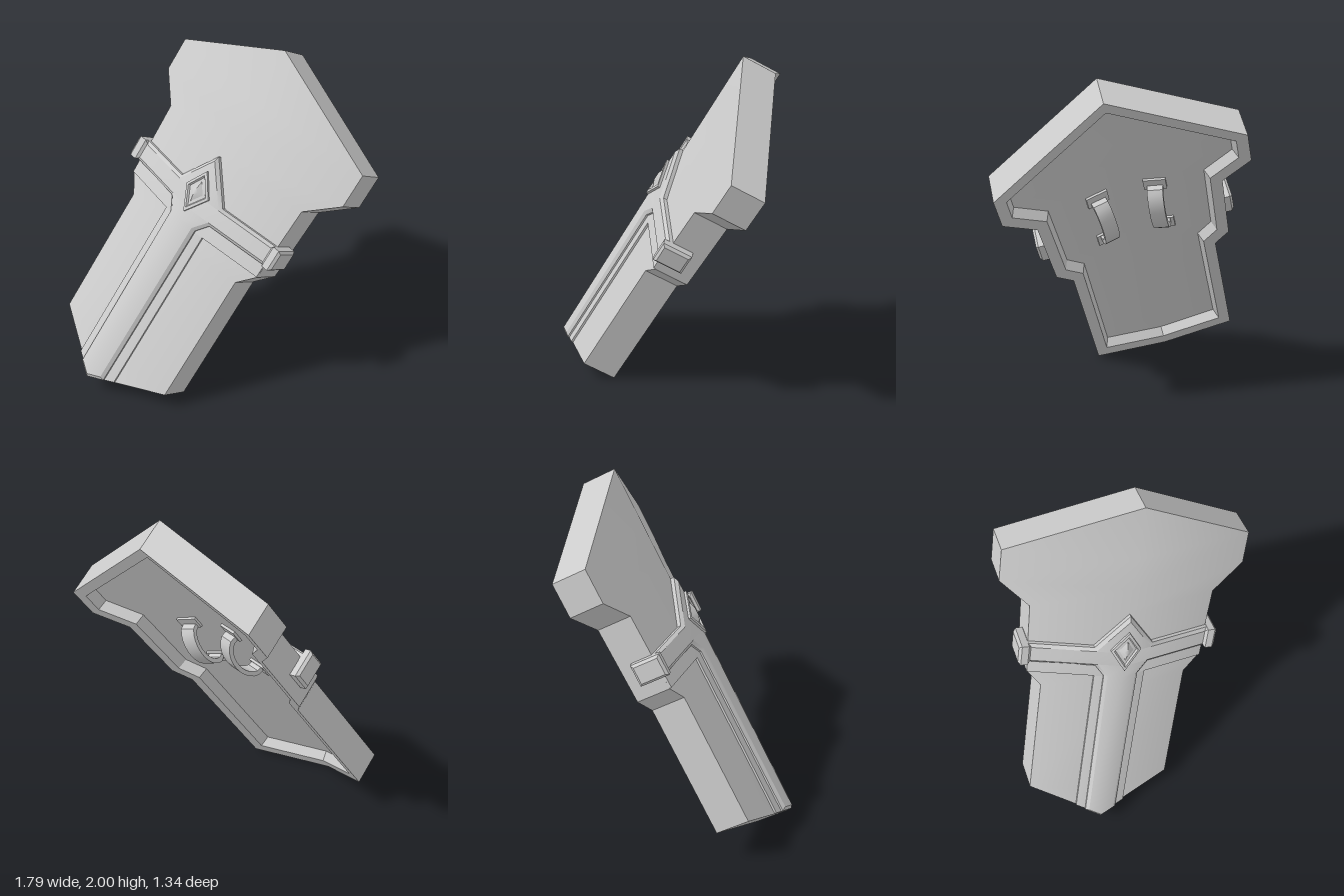
import * as THREE from 'three';
import { toCreasedNormals } from 'three/addons/utils/BufferGeometryUtils.js';

const SLOPE = 0.252;  // how fast both wings fall away from the central ridge
const RIDGE = 0.763;  // depth of the ridge line
const material = new THREE.MeshStandardMaterial({ color: 0xcccccc });

function named(name, geometry) {
  const mesh = new THREE.Mesh(geometry, material);
  mesh.name = name;
  return mesh;
}

// Closed outline from its right half [s, v], listed from top to bottom, moved inwards
function outline(half, inset) {
  const mirrored = half.slice(1, -1).reverse().map(([s, v]) => [-s, v]);
  const loop = [...half, ...mirrored].map(([s, v]) => new THREE.Vector2(s, v));
  const n = loop.length;
  const inward = (a, b) => {
    const d = b.clone().sub(a).normalize();
    return new THREE.Vector2(d.y, -d.x);
  };
  return loop.map((p, i) => {
    const a = inward(loop[(i + n - 1) % n], p);
    const b = inward(p, loop[(i + 1) % n]);
    const miter = a.clone().add(b).divideScalar(1 + a.dot(b));
    return p.clone().addScaledVector(miter, inset);
  });
}

// Symmetric solid folded over the ridge; steps are [inset, height] from back cap to front cap
function foldedSolid(half, steps) {
  const out = [];
  const point = (s, v, h) => new THREE.Vector3(s, v, RIDGE - SLOPE * Math.abs(s) + h);
  const tri = (a, b, c) => {
    const area = b.clone().sub(a).cross(c.clone().sub(a)).length();
    if (area > 1e-7) for (const p of [a, b, c]) out.push(p.x, p.y, p.z);
  };
  const quad = (a, b, c, d) => { tri(a, b, c); tri(a, c, d); };
  const loops = steps.map(([inset, h]) => outline(half, inset).map(p => point(p.x, p.y, h)));
  const n = loops[0].length;

  // Walls, bevels and rims
  for (let k = 0; k + 1 < loops.length; k++) {
    for (let i = 0; i < n; i++) {
      const j = (i + 1) % n;
      quad(loops[k + 1][i], loops[k + 1][j], loops[k][j], loops[k][i]);
    }
  }
  // Caps, each row split at the ridge
  const cap = (loop, h, front) => {
    for (let i = 0; i + 1 < half.length; i++) {
      for (const side of [1, -1]) {
        const p = loop[i], q = loop[i + 1];
        const corners = [
          point(0, q.y, h), point(side * q.x, q.y, h),
          point(side * p.x, p.y, h), point(0, p.y, h),
        ];
        if ((side === 1) !== front) corners.reverse();
        quad(...corners);
      }
    }
  };
  cap(loops[0], steps[0][1], false);
  cap(loops[loops.length - 1], steps[steps.length - 1][1], true);

  const geometry = new THREE.BufferGeometry();
  geometry.setAttribute('position', new THREE.Float32BufferAttribute(out, 3));
  return toCreasedNormals(geometry, 0.55);
}

// Bowed strap with two mounting plates
function makeHandle(side) {
  const handle = new THREE.Group();
  handle.name = side > 0 ? 'leftHandle' : 'rightHandle';
  const strap = new THREE.Shape();
  strap.moveTo(-0.01, -0.165);
  strap.lineTo(0.05, -0.165);
  strap.bezierCurveTo(0.15, -0.11, 0.15, 0.11, 0.05, 0.165);
  strap.lineTo(-0.01, 0.165);
  strap.lineTo(-0.01, 0.135);
  strap.lineTo(0.04, 0.135);
  strap.bezierCurveTo(0.12, 0.09, 0.12, -0.09, 0.04, -0.135);
  strap.lineTo(-0.01, -0.135);
  const geometry = new THREE.ExtrudeGeometry(strap, { depth: 0.09, bevelEnabled: false, curveSegments: 10 });
  geometry.translate(0, 0, -0.045).rotateY(Math.PI / 2);
  handle.add(named('strap', toCreasedNormals(geometry, 0.6)));
  for (const end of [1, -1]) {
    const plate = named('handlePlate', new THREE.BoxGeometry(0.13, 0.08, 0.02));
    plate.position.set(0, end * 0.17, -0.005);
    handle.add(plate);
  }
  handle.position.set(side * 0.17, 0.96, RIDGE - SLOPE * 0.17 - 0.14);
  handle.rotation.y = side * Math.atan(SLOPE);
  return handle;
}

// Bevelled end of the cross band, wrapped over the edge of the shield
function makeClip(side) {
  const w = 0.145, h = 0.1, b = 0.015;
  const shape = new THREE.Shape();
  shape.moveTo(-w / 2, -h / 2);
  shape.lineTo(w / 2, -h / 2);
  shape.lineTo(w / 2, h / 2);
  shape.lineTo(-w / 2, h / 2);
  const geometry = new THREE.ExtrudeGeometry(shape, {
    depth: 0.04, bevelThickness: b, bevelSize: b, bevelSegments: 1,
  });
  geometry.translate(0, 0, -0.02).rotateY(Math.PI / 2);
  const clip = named(side > 0 ? 'leftBandClip' : 'rightBandClip', geometry);
  clip.position.set(side * 0.55, 0.866, 0.596);
  return clip;
}

export function createModel() {
  const shield = new THREE.Group();
  shield.name = 'shield';

  // Main plate with a raised rim around the recessed back
  const body = [
    [0, 1.86], [0.705, 1.53], [0.705, 1.327], [0.534, 1.172],
    [0.52, 0.715], [0.433, 0.614], [0.433, -0.198], [0, -0.395],
  ];
  shield.add(named('shieldPlate', foldedSolid(body, [[0.085, -0.14], [0.065, -0.2], [0, -0.2], [0, 0]])));

  // Thin step under the band
  const step = [[0, 0.9], [0.525, 0.9], [0.52, 0.718], [0.15, 0.718], [0.15, -0.325], [0, -0.392]];
  shield.add(named('bandBase', foldedSolid(step, [[0, -0.02], [0, 0.012]])));

  // Raised band: pointed centre, two arms and a long stem
  const band = [
    [0, 1.165], [0.17, 0.93], [0.56, 0.93], [0.56, 0.802],
    [0.155, 0.802], [0.1, 0.73], [0.095, -0.35], [0, -0.392],
  ];
  shield.add(named('crossBand', foldedSolid(band, [[0, -0.02], [0, 0.022], [0.018, 0.036]])));

  // Diamond ornament: frame with a sunken gem
  const diamond = [[0, 1.065], [0.088, 0.93], [0, 0.795]];
  shield.add(named('diamondFrame', foldedSolid(diamond,
    [[0, 0.02], [0, 0.05], [0.015, 0.05], [0.022, 0.038]])));
  shield.add(named('diamondGem', foldedSolid(diamond, [[0.026, 0.03], [0.06, 0.052]])));

  for (const side of [1, -1]) shield.add(makeClip(side), makeHandle(side));

  // Lean the whole shield back and to the side
  const across = new THREE.Vector3(0.83, -0.241, 0.504).normalize();
  const out = across.clone().cross(new THREE.Vector3(0.435, 0.843, -0.317)).normalize();
  const up = out.clone().cross(across);
  shield.quaternion.setFromRotationMatrix(new THREE.Matrix4().makeBasis(across, up, out));
  shield.position.copy(across).multiplyScalar(-0.273);

  const model = new THREE.Group();
  model.name = 'leaningShield';
  model.add(shield);
  return model;
}
